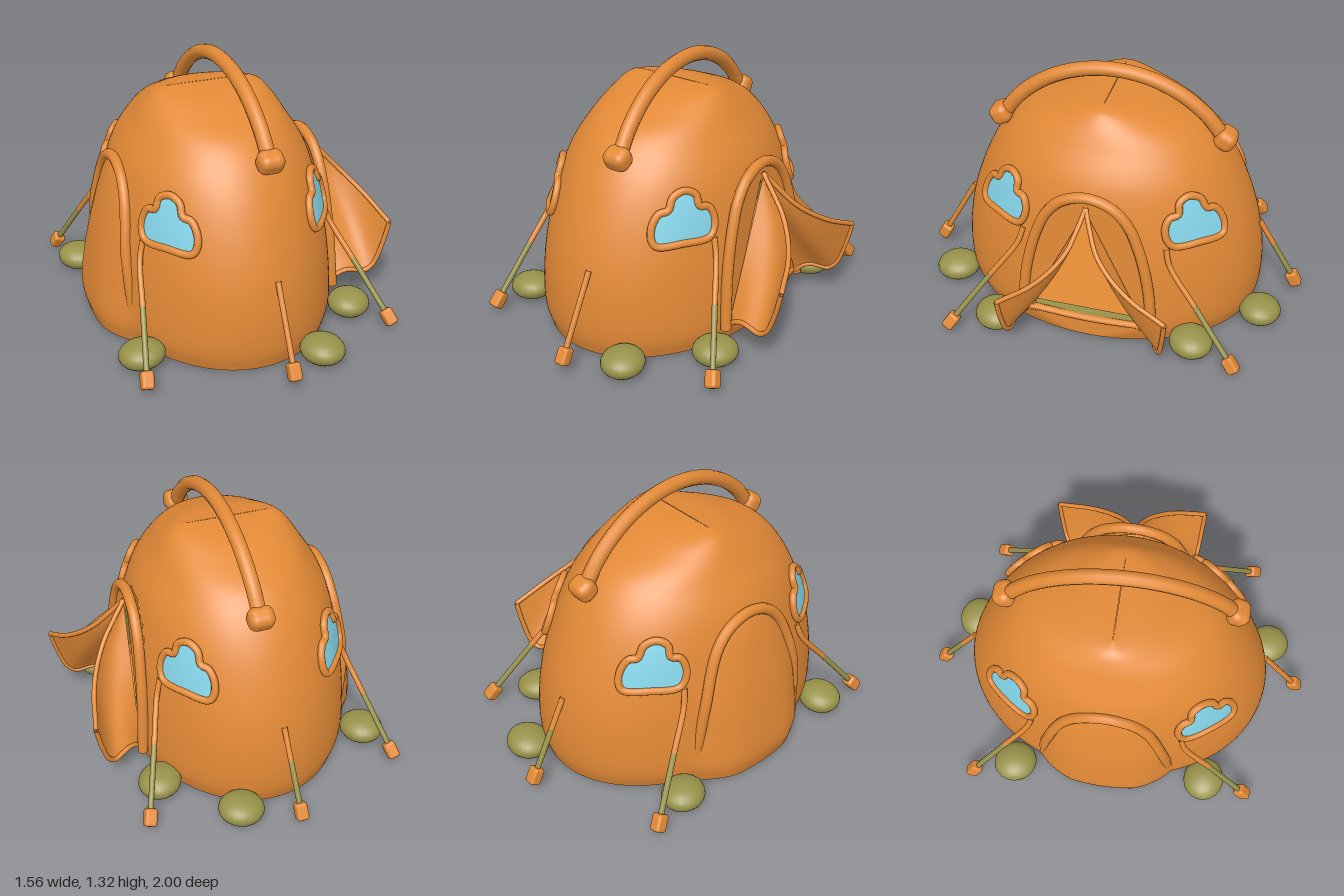
import * as THREE from 'three';
import { mergeVertices } from 'three/addons/utils/BufferGeometryUtils.js';
import { RoundedBoxGeometry } from 'three/addons/geometries/RoundedBoxGeometry.js';

const V = (x, y, z) => new THREE.Vector3(x, y, z);
const mat = (name, color) => {
  const m = new THREE.MeshStandardMaterial({ color, side: THREE.DoubleSide });
  m.name = name;
  return m;
};

// Surface grid from fn(u, v); keep() may drop cells by their corner points
function grid(nu, nv, fn, keep = () => true) {
  const pts = [], index = [];
  for (let j = 0; j <= nv; j++)
    for (let i = 0; i <= nu; i++) pts.push(fn((i % nu === 0 && fn.closed ? 0 : i) / nu, j / nv));
  for (let j = 0; j < nv; j++)
    for (let i = 0; i < nu; i++) {
      const a = j * (nu + 1) + i, b = a + 1, c = a + nu + 1, d = c + 1;
      if (keep([a, b, c, d].map(k => pts[k]))) index.push(a, c, b, b, c, d);
    }
  let g = new THREE.BufferGeometry().setFromPoints(pts);
  g.setIndex(index);
  g = mergeVertices(g, 1e-5);
  g.computeVertexNormals();
  return g;
}

// Piecewise linear lookup in rows of [key, value]
function lookup(rows, k) {
  for (let i = 1; i < rows.length; i++)
    if (k <= rows[i][0]) {
      const [a, b] = [rows[i - 1], rows[i]];
      return THREE.MathUtils.lerp(a[1], b[1], THREE.MathUtils.clamp((k - a[0]) / (b[0] - a[0]), 0, 1));
    }
  return rows[rows.length - 1][1];
}

// Shell profile: half width, height, half depth
const CX = -0.09;
const profile = new THREE.CatmullRomCurve3([
  V(0.555, 0.01, 0.76), V(0.58, 0.1, 0.783), V(0.572, 0.3, 0.782), V(0.54, 0.55, 0.73),
  V(0.468, 0.85, 0.6), V(0.37, 1.02, 0.46), V(0.31, 1.11, 0.28), V(0.265, 1.155, 0.15), V(0.2, 1.177, 0.001),
]);
const samples = profile.getPoints(96);
const widths = samples.map(p => [p.y, p.x]), depths = samples.map(p => [p.y, p.z]);

// Point on the shell, pushed outwards by off
function onShell(theta, y, off = 0) {
  const rx = lookup(widths, y), rz = lookup(depths, y);
  const n = V(Math.cos(theta) / rx, 0.7, Math.sin(theta) / rz).normalize();
  return V(CX + rx * Math.cos(theta), y, rz * Math.sin(theta)).addScaledVector(n, off);
}

// Arch outline shared by the door and the closed panel
const arch = [[0.1, 0.335], [0.35, 0.312], [0.5, 0.283], [0.62, 0.248], [0.72, 0.205], [0.795, 0.142], [0.833, 0.07], [0.845, 0]];
const doorX = y => 0.465 - 0.05 * y;
const insideArch = p => lookup(arch, p.y) - Math.abs(p.z);

export function createModel() {
  const model = new THREE.Group();
  const orange = mat('orange canvas', 0xe28936);
  const olive = mat('olive', 0x98924a);
  const blue = mat('window blue', 0x84d3e7);
  const add = (name, geo, material, parent = model) => {
    const m = new THREE.Mesh(geo, material);
    m.name = name;
    parent.add(m);
    return m;
  };
  const tube = (name, pts, r, material, closed = false, parent = model, seg = 48) =>
    add(name, new THREE.TubeGeometry(new THREE.CatmullRomCurve3(pts, closed), seg, r, 10, closed), material, parent);

  // Shell, flattened at the doorway and bulging at the closed panel
  const shell = (u, v) => {
    const p = samples[Math.round(v * 96)], t = u * Math.PI * 2;
    const q = V(CX + p.x * Math.cos(t), p.y, p.z * Math.sin(t));
    const inside = insideArch(q);
    if (q.x > 0) q.x = Math.min(q.x, doorX(q.y));
    else if (inside > 0 && q.y < 0.845)
      q.x -= (0.02 + 0.06 * Math.max(0, 1 - q.y / 0.8)) * Math.sqrt(Math.min(1, inside / 0.16));
    return q;
  };
  shell.closed = true;
  add('tentShell', grid(120, 96, shell, c =>
    !c.every(p => p.x > 0.2 && p.y > 0.1 && p.y < 0.83 && insideArch(p) > 0)), orange);

  // Floor
  const floor = (u, v) => V(CX, 0.01, 0).lerp(shell(u, 0), v);
  floor.closed = true;
  add('groundsheet', grid(120, 1, floor), orange);

  // Door wall with a triangular opening and olive lining
  const outline = new THREE.Shape();
  arch.forEach(([y, z], i) => (i ? outline.lineTo(z, y) : outline.moveTo(z, y)));
  arch.slice(0, -1).reverse().forEach(([y, z]) => outline.lineTo(-z, y));
  const hole = new THREE.Path([[0, 0.76], [-0.28, 0.13], [0.28, 0.13]].map(p => new THREE.Vector2(...p)));
  outline.holes.push(hole);
  const wall = new THREE.ExtrudeGeometry(outline, { depth: 0.06, bevelEnabled: false });
  wall.rotateY(Math.PI / 2);
  const wp = wall.attributes.position;
  for (let i = 0; i < wp.count; i++) {
    const p = V().fromBufferAttribute(wp, i);
    const depth = insideArch(p) < 0.005 ? 0.015 : 0.06;   // the outer rim stays inside the piping
    wp.setX(i, doorX(p.y) - (p.x > 0.03 ? 0 : depth));
  }
  wall.computeVertexNormals();
  add('doorWall', wall, [orange, olive]);
  tube('doorSill', [V(0.45, 0.125, -0.3), V(0.455, 0.115, 0), V(0.45, 0.125, 0.3)], 0.018, orange);

  // Piping around both arches; the panel's sinks into the canvas at its feet
  const archPts = fx => [
    ...arch.map(([y, z]) => V(fx(y, z), y, z)),
    ...arch.slice(0, -1).reverse().map(([y, z]) => V(fx(y, z), y, -z)),
  ];
  tube('doorArch', archPts(y => doorX(y)), 0.027, orange, false, model, 80);
  tube('panelArch', archPts((y, z) => {
    const s = z / lookup(depths, y);
    return CX - lookup(widths, y) * Math.sqrt(1 - s * s) - 0.012 + 0.045 * Math.max(0, 1 - y / 0.5);
  }), 0.027, orange, false, model, 80);

  // Door flaps, pulled open, each with a hem
  for (const s of [1, -1]) {
    const flap = new THREE.Group();
    flap.name = s > 0 ? 'frontDoorFlap' : 'backDoorFlap';
    model.add(flap);
    const free = new THREE.CatmullRomCurve3([
      V(0.44, 0.8, 0), V(0.595, 0.63, 0.06), V(0.7, 0.51, 0.18), V(0.765, 0.41, 0.35),
    ]);
    const at = (u, v) => {
      const f = free.getPoint(v);
      if (s < 0) f.add(V(-0.055 * v, 0, 0.1 * v));
      const p = V(0.44, 0.78, 0).lerp(V(0.465, 0.12, 0.315), v).lerp(f, u);
      p.y -= 0.165 * Math.sin(Math.PI * u * u) * v * v;
      p.z = s * (p.z - 0.02 * Math.sin(Math.PI * u) * Math.sin(Math.PI * v));
      return p;
    };
    add('flapCloth', grid(16, 16, at), orange, flap);
    const steps = [0, 0.15, 0.3, 0.45, 0.6, 0.75, 0.9, 1];
    tube('flapFreeHem', steps.map(t => at(1, t)), 0.012, orange, false, flap);
    tube('flapLowerHem', steps.map(t => at(t, 1)), 0.012, orange, false, flap);
  }

  // Four cloud-shaped windows wrapped on the shell
  const half = [[0.06, 0.1], [0.078, 0.048], [0.124, 0.036], [0.152, -0.01], [0.153, -0.068], [0.128, -0.106]];
  const cloud = new THREE.CatmullRomCurve3([
    V(0, 0.124, 0), ...half.map(p => V(p[0], p[1], 0)), V(0, -0.109, 0),
    ...half.slice().reverse().map(p => V(-p[0], p[1], 0)),
  ], true);
  for (const deg of [42, 135, 225, 314]) {
    const w = new THREE.Group();
    w.name = 'window';
    model.add(w);
    const wrap = (a, b, off) => onShell(deg * Math.PI / 180 + a / 0.62, 0.698 + b, off);
    const pane = (u, v) => {
      const c = cloud.getPoint(u);
      return wrap(-c.x * v, c.y * v, 0.012);
    };
    pane.closed = true;
    add('windowPane', grid(48, 5, pane), blue, w);
    const edge = Array.from({ length: 48 }, (_, i) => cloud.getPoint(i / 48));
    tube('windowFrame', edge.map(c => wrap(c.x, c.y, 0.012)), 0.018, orange, true, w, 96);
  }

  // Carrying handle, a circular arc with end blocks
  const handle = [];
  for (let i = 0; i <= 10; i++) {
    const t = i / 5 - 1, a = t * 1.04;
    handle.push(V(-0.028 + 0.032 * t, 0.645 + 0.638 * Math.cos(a), 0.638 * Math.sin(a)));
  }
  tube('handle', handle, 0.037, orange);
  for (const s of [1, -1]) {
    const b = add('handleMount', new RoundedBoxGeometry(0.125, 0.105, 0.105, 4, 0.04), orange);
    b.position.set(-0.028 + 0.032 * s, 0.97, 0.56 * s);
    b.rotation.x = 0.5 * s;
  }

  // Guy ropes: peg x, y, z; shell anchor x, y, z; olive share of the length
  const ropes = [
    [-0.74, 0.07, -0.69, -0.58, 0.5, -0.4, 0.6], [0.54, 0.07, -0.75, 0.395, 0.5, -0.4, 0.6],
    [0.61, 0.07, 0.67, 0.415, 0.5, 0.36, 0.6], [-0.66, 0.07, 0.74, -0.575, 0.5, 0.4, 0.6],
    [-0.03, 0.1, 0.955, -0.03, 0.46, 0.755, 0], [-0.14, 0.1, -0.96, -0.12, 0.46, -0.755, 0.6],
  ];
  for (const [px, py, pz, ax, ay, az, share] of ropes) {
    const g = new THREE.Group();
    g.name = 'guyRope';
    model.add(g);
    const peg = V(px, py, pz), anchor = V(ax, ay, az), mid = peg.clone().lerp(anchor, share);
    const theta = Math.atan2(az / lookup(depths, ay), (ax - CX) / lookup(widths, ay));
    const path = [mid, anchor];
    if (Math.abs(ax) > 0.2) path.push(onShell(theta, 0.58, 0.005));
    if (share) tube('ropeLower', [peg, mid], 0.014, olive, false, g, 4);
    tube('ropeUpper', path, 0.014, orange, false, g, 16);
    const block = add('peg', new RoundedBoxGeometry(0.06, 0.085, 0.06, 2, 0.014), orange, g);
    block.position.copy(peg);
    block.quaternion.setFromUnitVectors(V(0, 1, 0), anchor.clone().sub(peg).normalize());
  }

  // Stones around the base
  const stones = [[0.11, -0.825], [0.43, -0.53], [-0.67, -0.48], [-0.62, 0.53], [0.49, 0.47], [0.19, 0.795]];
  stones.forEach(([x, z], i) => {
    const st = add('stone', new THREE.SphereGeometry(1, 20, 14), olive);
    st.scale.set(0.113, 0.066, 0.106);
    st.position.set(x, 0.068, z);
    st.rotation.set(0.08 * Math.sin(i * 2), i, 0.08 * Math.cos(i * 3));
  });
  return model;
}
